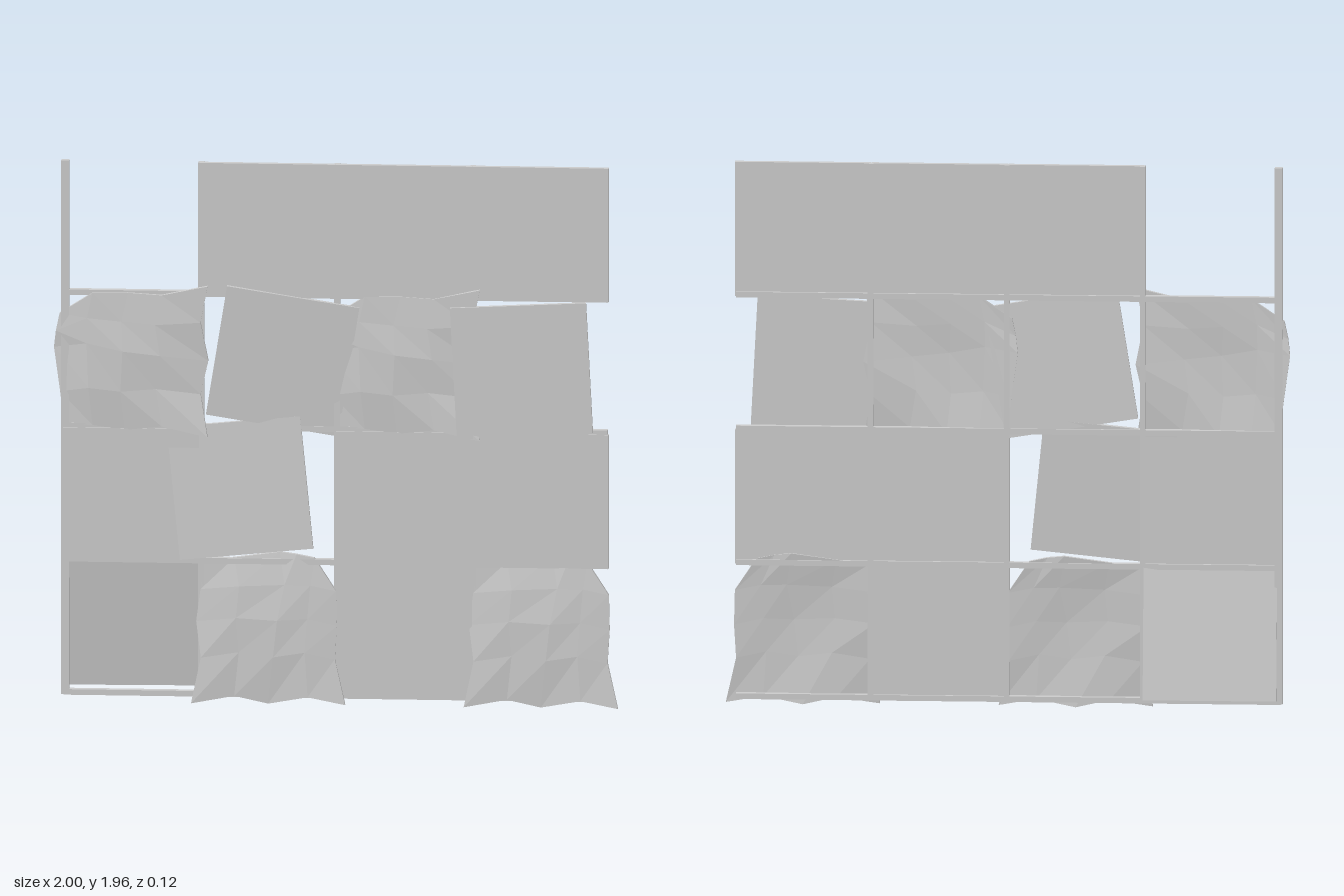
import * as THREE from 'three';

const CELL = 0.483;
const material = new THREE.MeshStandardMaterial({ color: 0xcccccc, flatShading: true, side: THREE.DoubleSide });

// Lower-left based grid: centre of a column or row
const colX = (c) => -0.724 + c * CELL;
const rowY = (r) => 0.273 + r * CELL;

function box(name, w, h, d, x, y, z, rx = 0, ry = 0, rz = 0) {
  const mesh = new THREE.Mesh(new THREE.BoxGeometry(w, h, d), material);
  mesh.name = name;
  mesh.position.set(x, y, z);
  mesh.rotation.set(rx, ry, rz);
  return mesh;
}

// Buckled sheet: a subdivided slab blended between four bent edges
function buckledGeometry() {
  const n = 4;
  const bottom = [[-0.272, -0.263], [-0.12, -0.238], [0, -0.265], [0.14, -0.238], [0.273, -0.263]];
  const top = [[-0.237, 0.245], [-0.12, 0.26], [0.04, 0.282], [0.1, 0.275], [0.163, 0.262]];
  const left = [[-0.272, -0.263], [-0.238, -0.1], [-0.255, 0.03], [-0.24, 0.145], [-0.237, 0.245]];
  const right = [[0.273, -0.263], [0.236, -0.1], [0.243, 0.02], [0.24, 0.145], [0.163, 0.262]];
  const geometry = new THREE.BoxGeometry(1, 1, 0.016, n, n, 1);
  const p = geometry.attributes.position;
  for (let k = 0; k < p.count; k++) {
    const u = p.getX(k) + 0.5, v = p.getY(k) + 0.5;
    const i = Math.round(u * n), j = Math.round(v * n);
    const at = (a) => (1 - v) * bottom[i][a] + v * top[i][a] + (1 - u) * left[j][a] + u * right[j][a]
      - (1 - u) * (1 - v) * bottom[0][a] - u * (1 - v) * bottom[n][a]
      - (1 - u) * v * top[0][a] - u * v * top[n][a];
    const bulge = 0.012 * Math.sin(Math.PI * u) * Math.sin(Math.PI * v);
    const corner = (1 - v) ** 3 * (2 * u - 1) ** 2 * 0.016;
    const ripple = 0.004 * Math.cos(i * 2.1 + j * 1.4);
    p.setXYZ(k, at(0), at(1), p.getZ(k) + 0.027 - 0.014 * v * v + bulge + corner + ripple);
  }
  geometry.computeVertexNormals();
  return geometry;
}

export function createModel() {
  const model = new THREE.Group();

  // Supporting lattice
  const frame = new THREE.Group();
  frame.name = 'frame';
  for (let i = 0; i < 4; i++) {
    const wide = i === 0 ? 0.028 : 0.02;
    frame.add(box('verticalBar', wide, 1.935, 0.024, -0.962 + i * CELL * 0.996, 0.997, 0.013));
    frame.add(box('horizontalBar', 1.925, 0.02, 0.024, -0.005, 0.038 + i * CELL, 0.013));
  }
  model.add(frame);

  // Intact panels: [column, row]
  const panels = new THREE.Group();
  panels.name = 'flatPanels';
  for (const [c, r] of [[2, 0], [0, 1], [2, 1], [3, 1], [1, 3], [2, 3], [3, 3]]) {
    panels.add(box('flatPanel', 0.481, 0.484, 0.02, colX(c) - 0.004, rowY(r), 0.021));
  }
  model.add(panels);

  // Panels knocked loose
  model.add(
    box('leaningPanel', 0.472, 0.472, 0.014, -0.72, 0.285, -0.02, 0.14, 0.02, 0),
    box('tiltedPanel', 0.474, 0.478, 0.018, -0.343, 0.788, 0.027, -0.035, 0, 0.1),
    box('tiltedPanel', 0.474, 0.476, 0.018, -0.192, 1.25, 0.025, 0.035, 0.02, -0.16),
    box('tiltedPanel', 0.482, 0.476, 0.018, 0.654, 1.23, 0.044, 0, 0, 0.052)
  );

  // Buckled panels: centre x, centre y, quarter turns
  const buckled = buckledGeometry();
  for (const [x, y, turns] of [[-0.243, 0.273, 0], [0.722, 0.273, 0], [-0.72, 1.247, 1], [0.243, 1.247, 1]]) {
    const mesh = new THREE.Mesh(buckled, material);
    mesh.name = 'buckledPanel';
    mesh.position.set(x, y, 0);
    mesh.rotation.z = turns * Math.PI / 2;
    model.add(mesh);
  }
  return model;
}
